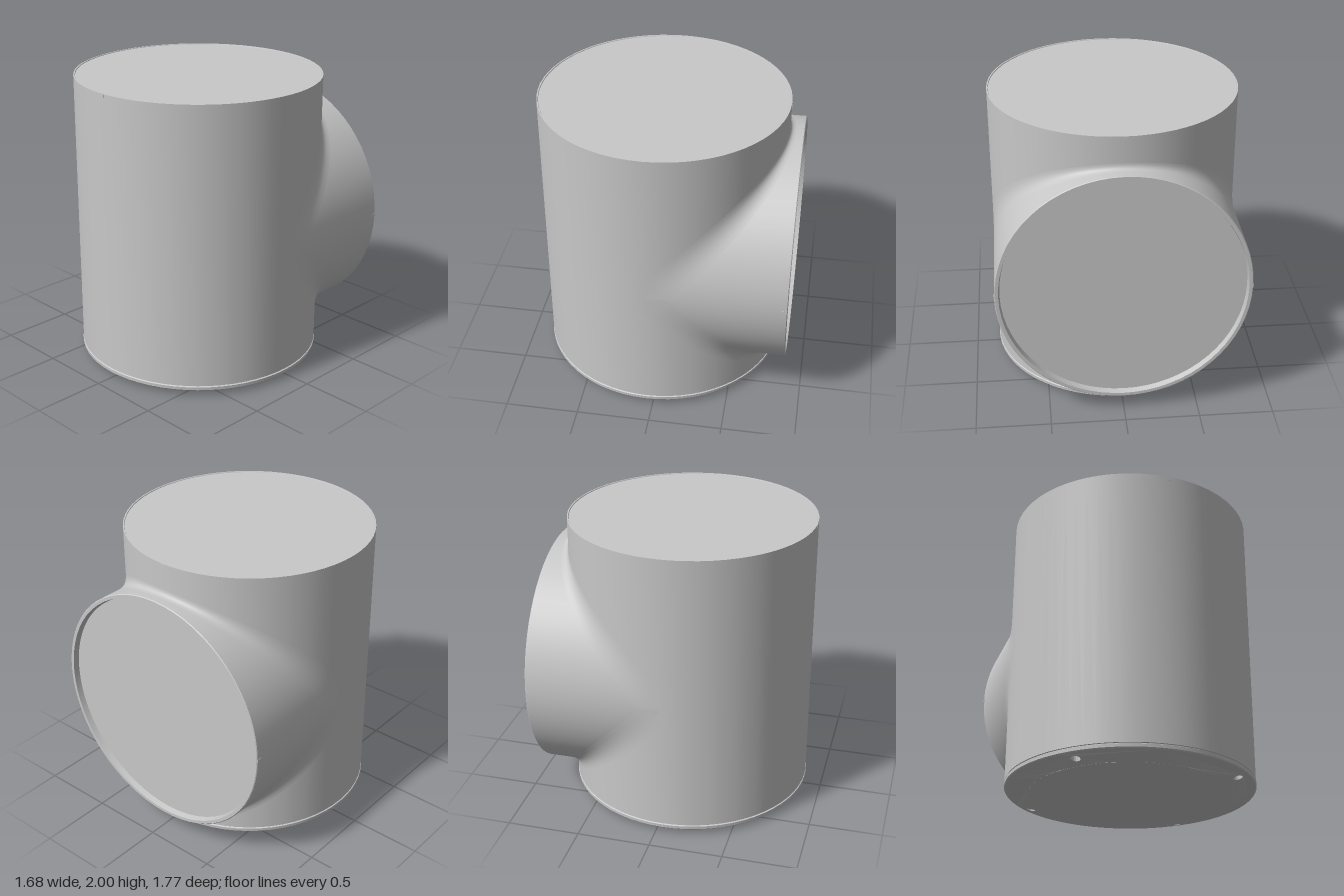
import * as THREE from 'three';
import { toCreasedNormals } from 'three/addons/utils/BufferGeometryUtils.js';

const R = 0.835;        // radius of both pipes
const AXIS_Z = 0.045;   // z of the upright axis
const AXIS_Y = 0.945;   // height of the side outlet axis
const SEGMENTS = 64;

const lathe = (points) => toCreasedNormals(
  new THREE.LatheGeometry(points.map(([r, y]) => new THREE.Vector2(r, y)), SEGMENTS), 0.4);

// Blend strip along one seam where the two pipes meet
function blendGeometry() {
  const geo = new THREE.PlaneGeometry(1, 1, 8, 64);
  const pos = geo.attributes.position;
  for (let i = 0; i < pos.count; i++) {
    const s = pos.getX(i) + 0.5;
    const angle = (pos.getY(i) + 0.5) * Math.PI;
    const m = R * Math.sin(angle);
    const d = 0.04 + 0.1 * Math.cos(angle) ** 2;
    pos.setXYZ(i, R * Math.cos(angle), m + d * (1 - s) ** 2, -(m + d * s * s));
  }
  geo.computeVertexNormals();
  return geo;
}

// Chamfered foot ring with four vertical holes
function footGeometry() {
  const inner = 0.68, outer = 0.83, depth = 0.055;
  const shape = new THREE.Shape().absarc(0, 0, outer, 0, Math.PI * 2);
  shape.holes.push(new THREE.Path().absarc(0, 0, inner, 0, Math.PI * 2, true));
  for (const x of [-0.54, 0.54]) {
    for (const y of [-0.54, 0.54]) {
      shape.holes.push(new THREE.Path().absarc(x, y, 0.03, 0, Math.PI * 2, true));
    }
  }
  const geo = new THREE.ExtrudeGeometry(shape, { depth, bevelEnabled: false, curveSegments: 32 });
  geo.rotateX(-Math.PI / 2);
  // Raise the lower face towards the rim
  const pos = geo.attributes.position;
  for (let i = 0; i < pos.count; i++) {
    if (pos.getY(i) < depth / 2) {
      const r = Math.hypot(pos.getX(i), pos.getZ(i));
      pos.setY(i, Math.max(0, (r - inner) / (outer - inner)) * 0.035);
    }
  }
  return toCreasedNormals(geo, 0.4);
}

export function createModel() {
  const model = new THREE.Group();
  const grey = new THREE.MeshStandardMaterial({ color: 0xc8c8c8 });
  grey.name = 'light grey';

  const add = (name, geometry, x, y, z) => {
    const mesh = new THREE.Mesh(geometry, grey);
    mesh.name = name;
    mesh.position.set(x, y, z);
    model.add(mesh);
    return mesh;
  };

  // Upright pipe with a thin rim around its lid
  add('uprightPipe', lathe([
    [0, 0.055], [0.828, 0.055], [0.828, 0.07], [R, 0.072], [R, 2],
    [0.826, 2], [0.824, 1.995], [0, 1.995],
  ]), 0, 0, AXIS_Z);

  // Base: lip, chamfered ring with holes, flat bottom
  add('baseLip', lathe([
    [0.8, 0.035], [0.83, 0.035], [0.837, 0.042], [0.838, 0.063], [0.83, 0.067], [0.8, 0.067],
  ].slice(1)), 0, 0, AXIS_Z);
  add('footRing', footGeometry(), 0, 0, AXIS_Z);
  add('basePlate', lathe([[0, 0], [0.682, 0], [0.682, 0.055]]), 0, 0, AXIS_Z);

  // Side outlet with a recessed cover
  const length = AXIS_Z + 0.885;
  const outlet = lathe([
    [R, 0], [R, length - 0.005], [R - 0.005, length], [0.808, length],
    [0.8, length - 0.04], [0, length - 0.04],
  ]);
  outlet.rotateX(-Math.PI / 2);
  add('sideOutlet', outlet, 0, AXIS_Y, AXIS_Z);

  // Upper and lower blends between the pipes
  for (const [name, turn] of [['upperBlend', 0], ['lowerBlend', Math.PI]]) {
    add(name, blendGeometry(), 0, AXIS_Y, AXIS_Z).rotation.z = turn;
  }

  // Small locating marks on the rims
  for (const side of [-1, 1]) {
    add('lidMark', new THREE.BoxGeometry(0.022, 0.024, 0.004), 0, 1.986, AXIS_Z + side * R);
    add('outletMark', new THREE.BoxGeometry(0.004, 0.02, 0.036), side * R, AXIS_Y, -0.864);
  }
  return model;
}
